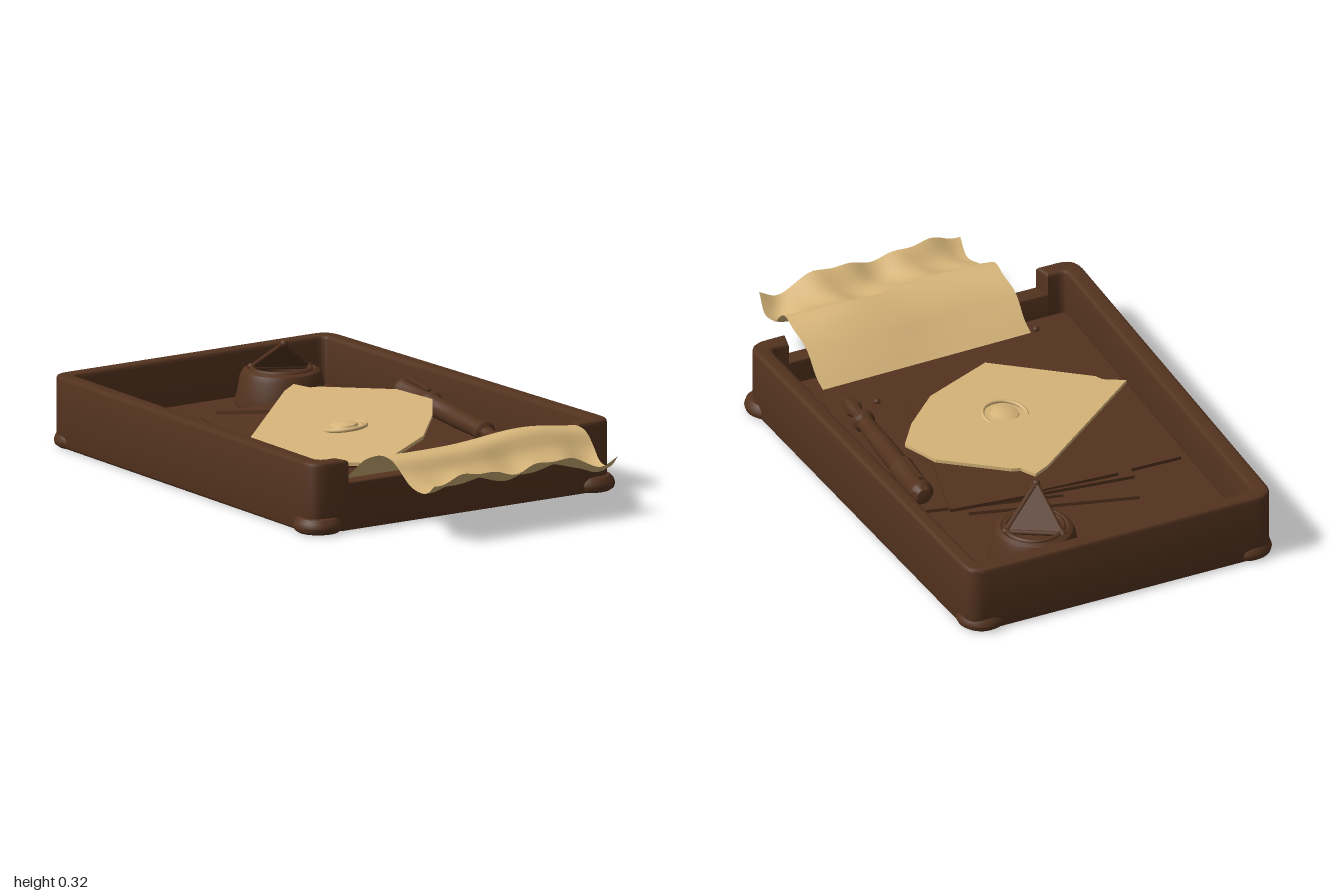
import * as THREE from 'three';
import { toCreasedNormals } from 'three/addons/utils/BufferGeometryUtils.js';

const wood = new THREE.MeshStandardMaterial({ color: 0x54331f });
wood.name = 'darkBrown';
const paper = new THREE.MeshStandardMaterial({ color: 0xd8b67a, side: THREE.DoubleSide });
paper.name = 'parchmentTan';

export function createModel() {
  const model = new THREE.Group();

  const add = (name, geometry, material, x = 0, y = 0, z = 0) => {
    const mesh = new THREE.Mesh(geometry, material);
    mesh.name = name;
    mesh.position.set(x, y, z);
    model.add(mesh);
    return mesh;
  };

  // Moves every vertex by a rule
  const warp = (geometry, rule) => {
    const p = geometry.attributes.position;
    const v = new THREE.Vector3();
    for (let i = 0; i < p.count; i++) {
      rule(v.fromBufferAttribute(p, i));
      p.setXYZ(i, v.x, v.y, v.z);
    }
    geometry.computeVertexNormals();
    return geometry;
  };

  // Horizontal slab from an [x, z] outline; radii round the chosen corners
  const slab = (points, height, radii = [], bevel = 0) => {
    const pts = points.map(([x, z]) => new THREE.Vector2(x, -z));
    const shape = new THREE.Shape();
    pts.forEach((p, i) => {
      const r = radii[i] || 0;
      const prev = pts[(i + pts.length - 1) % pts.length];
      const next = pts[(i + 1) % pts.length];
      const a = p.clone().add(prev.clone().sub(p).setLength(r));
      const b = p.clone().add(next.clone().sub(p).setLength(r));
      if (i) shape.lineTo(a.x, a.y);
      else shape.moveTo(a.x, a.y);
      if (r) shape.quadraticCurveTo(p.x, p.y, b.x, b.y);
    });
    shape.closePath();
    const g = new THREE.ExtrudeGeometry(shape, {
      depth: height - 2 * bevel, curveSegments: 8, bevelEnabled: bevel > 0,
      bevelSize: bevel, bevelThickness: bevel, bevelOffset: -bevel, bevelSegments: 3,
    });
    g.translate(0, 0, bevel).rotateX(-Math.PI / 2);
    return toCreasedNormals(g, 0.6);
  };

  const lathe = (points, segments = 36) =>
    toCreasedNormals(new THREE.LatheGeometry(points.map(p => new THREE.Vector2(...p)), segments), 0.6);

  // Tray: C-shaped wall, floor and low front sill
  add('trayWall', slab([
    [0.47, 0.65], [0.615, 0.65], [0.59, -0.985], [-0.55, -0.985], [-0.615, 0.65], [-0.47, 0.65],
    [-0.485, 0.59], [-0.55, 0.59], [-0.49, -0.93], [0.535, -0.93], [0.555, 0.59], [0.485, 0.59],
  ], 0.243, [0, 0.07, 0.07, 0.07, 0.07, 0, 0, 0.03, 0.03, 0.03, 0.03, 0], 0.012), wood);
  add('trayFloor', slab([[0.58, 0.62], [0.56, -0.955], [-0.52, -0.955], [-0.58, 0.62]], 0.075), wood, 0, 0.004);
  add('frontSill', slab([[0.5, 0.65], [0.5, 0.59], [-0.5, 0.59], [-0.5, 0.65]], 0.166, [], 0.006), wood);

  // Rounded corner feet
  const footProfile = [[0, 0], [0.07, 0], [0.081, 0.008], [0.085, 0.022], [0.08, 0.038], [0.068, 0.05], [0, 0.062]];
  for (const [x, z] of [[0.555, 0.595], [-0.555, 0.595], [0.515, -0.915], [-0.478, -0.915]]) {
    add('cornerFoot', lathe(footProfile), wood, x, 0, z);
  }

  // Stack of dark sheets and envelopes
  const sheets = [
    [[[-0.48, -0.42], [-0.5, 0.13], [0.1, 0.16], [0.12, -0.4]], 0.08, 0, 0],
    [[[-0.23, -0.61], [-0.4, 0.1], [0.12, 0.28], [0.33, -0.45]], 0.09, 0.01, -0.02],
    [[[0.48, -0.39], [0.0, -0.5], [-0.15, 0.18], [0.2, 0.29]], 0.1, 0.02, -0.02],
    [[[0.41, -0.47], [-0.25, -0.53], [-0.38, 0.06], [0.2, 0.25]], 0.112, 0.03, -0.05],
  ];
  sheets.forEach(([outline, y, sx, sz]) => {
    add('darkSheet', warp(slab(outline, 0.012), v => { v.y += sx * v.x + sz * v.z; }), wood, 0, y, 0);
  });
  add('foldedFlap', warp(slab([[-0.2, -0.51], [0.0, -0.25], [0.12, -0.49]], 0.012),
    v => { v.y += Math.max(0, v.z + 0.5) * 0.12; }), wood, 0, 0.145, 0);

  // Pale envelope, tilted on the stack, with its seal
  const tilt = (x, z) => 0.06 * x - 0.09 * z;
  add('envelope', warp(slab([
    [-0.5, 0.03], [-0.43, 0.07], [-0.42, 0.1], [-0.13, 0.35], [0.15, 0.2], [0.3, 0.04], [0.39, -0.09],
    [0.35, -0.24], [0.15, -0.41], [0.12, -0.42], [0.095, -0.48], [0.03, -0.44],
  ], 0.012), v => { v.y += tilt(v.x, v.z); }), paper, 0, 0.157, 0);
  const seal = new THREE.Group();
  seal.name = 'seal';
  seal.position.set(-0.015, 0.171, -0.03);
  seal.rotation.set(-0.09, 0, 0.06);
  const button = new THREE.Mesh(lathe([[0.05, 0], [0.046, 0.008], [0.03, 0.014], [0, 0.016]]), paper);
  button.name = 'sealButton';
  const ring = new THREE.Mesh(new THREE.TorusGeometry(0.076, 0.007, 8, 40, 4.6).rotateX(-Math.PI / 2), paper);
  ring.name = 'sealRing';
  ring.rotation.y = 2.2;
  seal.add(button, ring);
  model.add(seal);

  // Inkwell with recessed top
  add('inkwell', lathe([
    [0.155, 0], [0.157, 0.02], [0.148, 0.05], [0.14, 0.1], [0.13, 0.12], [0.115, 0.128],
    [0.103, 0.122], [0.1, 0.09], [0, 0.09],
  ], 48), wood, 0.235, 0.078, -0.752);
  add('inkwellRing', new THREE.TorusGeometry(0.098, 0.009, 8, 48).rotateX(Math.PI / 2), wood, 0.235, 0.202, -0.752);

  // Leaning triangular stopper: three rods around a thin plate
  const corners = [[0.185, 0.31, -0.665], [0.335, 0.2, -0.735], [0.17, 0.2, -0.835]].map(p => new THREE.Vector3(...p));
  const normal = corners[1].clone().sub(corners[0]).cross(corners[2].clone().sub(corners[0])).setLength(0.005);
  for (const side of [1, -1]) {
    const face = corners.map(c => c.clone().addScaledVector(normal, side));
    if (side < 0) face.reverse();
    const g = new THREE.BufferGeometry().setFromPoints(face);
    g.computeVertexNormals();
    add('stopperPlate', g, wood);
  }
  corners.forEach((c, i) => {
    const edge = new THREE.LineCurve3(c, corners[(i + 1) % 3]);
    add('stopperEdge', new THREE.TubeGeometry(edge, 1, 0.009, 8), wood);
    add('stopperTip', new THREE.SphereGeometry(0.014, 12, 8), wood, c.x, c.y, c.z);
  });

  // Pen lying beside the papers, nib towards the front
  const penStart = new THREE.Vector3(0.462, 0.175, -0.385);
  const penAxis = new THREE.Vector3(0.385, 0.125, 0.385).sub(penStart);
  const pen = add('pen', lathe([
    [0, 0], [0.025, 0.004], [0.032, 0.02], [0.042, 0.03], [0.042, 0.05], [0.038, 0.06], [0.042, 0.2],
    [0.044, 0.22], [0.036, 0.235], [0.034, 0.4], [0.028, 0.56], [0.038, 0.57], [0.038, 0.59],
    [0.024, 0.6], [0.02, 0.64], [0.029, 0.67], [0.02, 0.72], [0, 0.775],
  ], 20), wood, ...penStart.toArray());
  pen.quaternion.setFromUnitVectors(new THREE.Vector3(0, 1, 0), penAxis.normalize());
  const clip = new THREE.Mesh(new THREE.BoxGeometry(0.012, 0.16, 0.012), wood);
  clip.name = 'penClip';
  clip.position.set(0, 0.13, -0.045);
  pen.add(clip);

  // Small studs on the floor
  for (const [x, z] of [[0.44, -0.66], [0.27, 0.36], [-0.41, 0.53]]) {
    add('floorStud', new THREE.SphereGeometry(0.012, 12, 8), wood, x, 0.082, z);
  }

  // Creased parchment draped over the sill, curling up at its front edge
  const drape = new THREE.CatmullRomCurve3([
    [0.45, 0.125], [0.52, 0.175], [0.6, 0.225], [0.67, 0.246], [0.74, 0.243], [0.795, 0.2],
    [0.86, 0.178], [0.925, 0.176], [0.995, 0.215],
  ].map(([z, y]) => new THREE.Vector3(0, y, z)));
  add('drapedParchment', warp(new THREE.PlaneGeometry(1, 1, 48, 48).rotateX(-Math.PI / 2), v => {
    const u = v.x + 0.5;
    const t = v.z + 0.5;
    const c = drape.getPoint(t);
    const front = THREE.MathUtils.smoothstep(t, 0.45, 1);
    const hump = 0.022 * Math.exp(-(((u - 0.75) / 0.2) ** 2)) * Math.exp(-(((t - 0.45) / 0.16) ** 2));
    const ripple = 0.011 * Math.sin(u * 14 + t * 5) + 0.006 * Math.sin(u * 31 - t * 9);
    const fold = -0.035 * Math.exp(-(((u - 0.93) / 0.07) ** 2)) * front;
    v.x = -0.355 + u * (0.785 - 0.025 * front) + 0.004 * Math.sin(t * 23);
    v.y = c.y + hump + front * ripple + fold;
    v.z = c.z + 0.012 * (0.5 - u) * (1 - t) - 0.015 * u * front + 0.004 * Math.sin(u * 19) * t
      + 0.02 * Math.sin(u * 7) * Math.sin(Math.PI * t);
  }), paper);

  return model;
}
